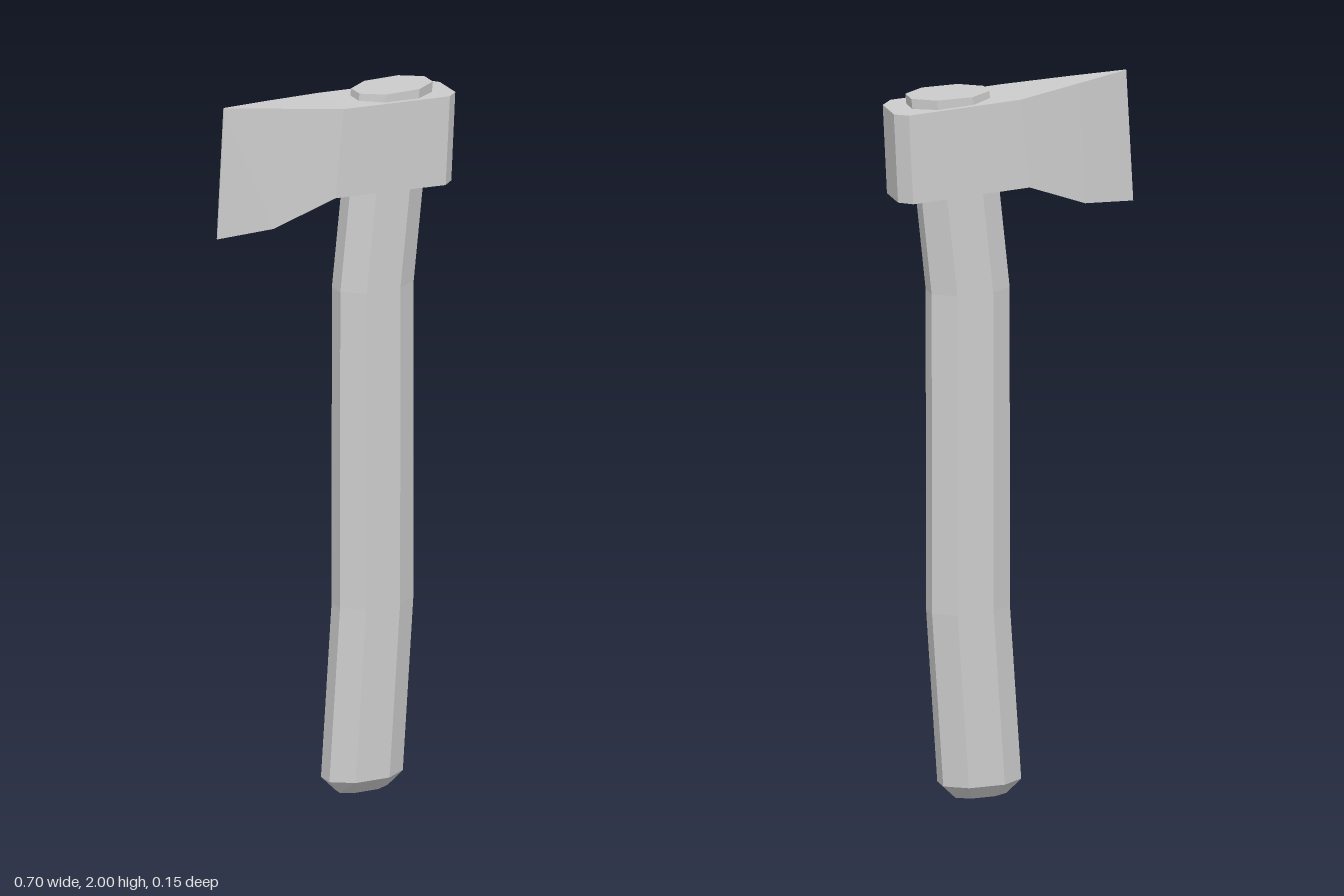
import * as THREE from 'three';

// Skin a list of equal-length point rings and close both ends.
function loft(rings) {
  const n = rings[0].length, last = (rings.length - 1) * n, index = [];
  for (let i = 0; i < rings.length - 1; i++) {
    for (let j = 0; j < n; j++) {
      const a = i * n + j, b = i * n + (j + 1) % n;
      index.push(a, a + n, b, b, a + n, b + n);
    }
  }
  for (let j = 1; j < n - 1; j++) {
    index.push(0, j, j + 1, last, last + j + 1, last + j);
  }
  const geometry = new THREE.BufferGeometry();
  geometry.setAttribute('position', new THREE.Float32BufferAttribute(rings.flat(2), 3));
  geometry.setIndex(index);
  const flat = geometry.toNonIndexed();
  flat.computeVertexNormals();
  return flat;
}

// Elongated octagon lying level at height y
function octagon(x, y, scaleX = 1, scaleZ = 1) {
  const corners = [[0.111, 0.025], [0.051, 0.064], [-0.051, 0.064], [-0.111, 0.025],
    [-0.111, -0.025], [-0.051, -0.064], [0.051, -0.064], [0.111, -0.025]];
  return corners.map(([cx, cz]) => [x + cx * scaleX, y, cz * scaleZ]);
}

// Upright slice through the head, from its top edge to its bottom edge
function slice(topX, topY, topZ, bottomX, bottomY, bottomZ = topZ) {
  return [[topX, topY, topZ], [topX, topY, -topZ],
    [bottomX, bottomY, -bottomZ], [bottomX, bottomY, bottomZ]];
}

export function createModel() {
  const group = new THREE.Group();
  const material = new THREE.MeshStandardMaterial({ color: 0xcccccc, flatShading: true });
  const add = (name, geometry) => {
    const mesh = new THREE.Mesh(geometry, material);
    mesh.name = name;
    group.add(mesh);
  };

  // Bent handle with a chamfered butt, passing through the head
  add('handle', loft([
    octagon(0.087, 0, 0.65, 0.5),
    octagon(0.088, 0.04),
    octagon(0.12, 0.53),
    octagon(0.121, 1.43),
    octagon(0.179, 1.987),
  ]));

  // Head, from the cutting edge back to the chamfered poll
  add('axeHead', loft([
    slice(-0.33, 2.0, 0.002, -0.35, 1.63),
    slice(-0.185, 1.987, 0.036, -0.2, 1.648, 0.04),
    slice(-0.005, 1.97, 0.076, -0.03, 1.72),
    slice(0.315, 1.957, 0.077, 0.302, 1.706),
    slice(0.347, 1.955, 0.046, 0.335, 1.705),
  ]));

  return group;
}
